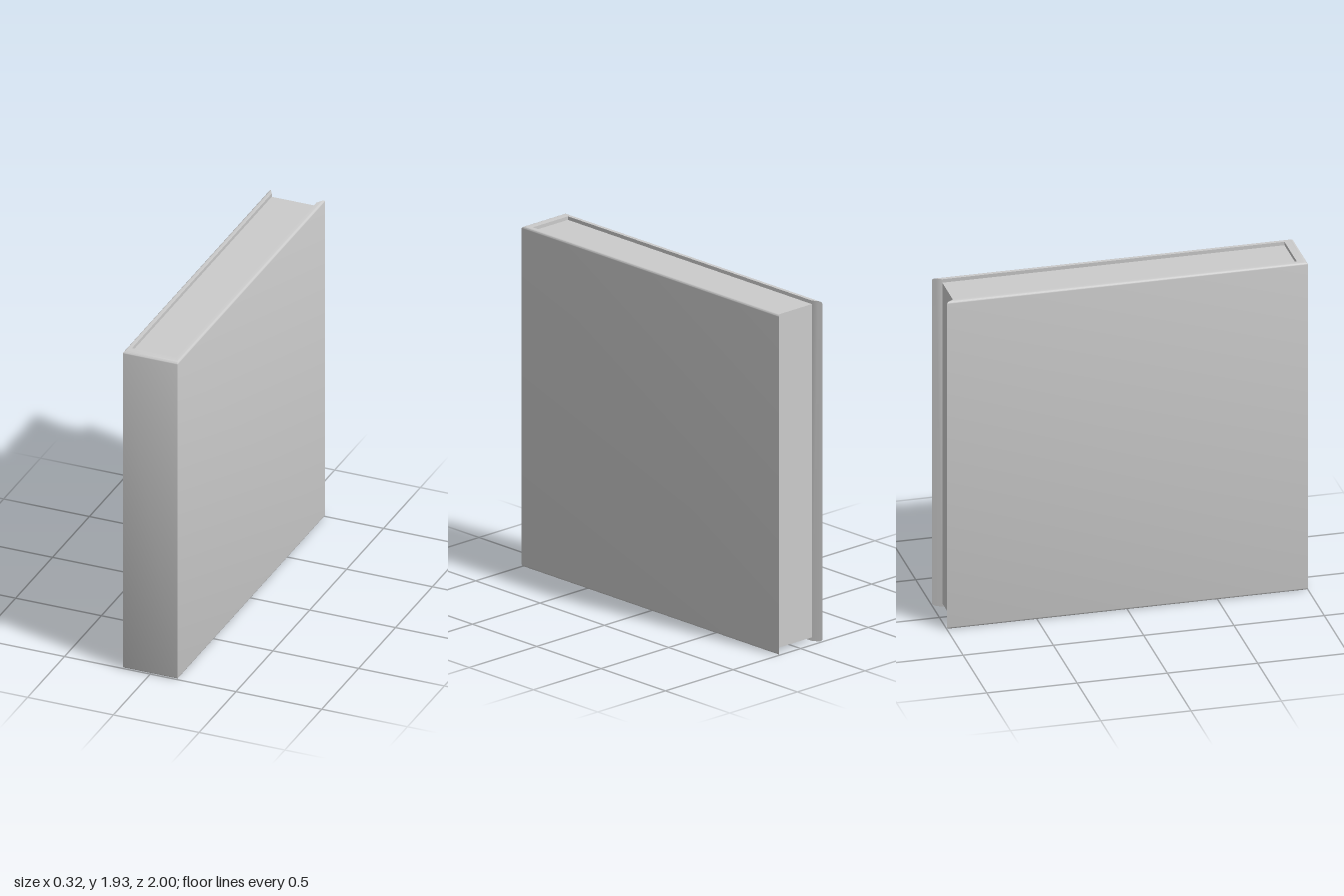
import * as THREE from 'three';
import { toCreasedNormals } from 'three/addons/utils/BufferGeometryUtils.js';

const W = 0.16, H = 1.93, D = 1;      // half width, height, half depth
const T = 0.03, R = 0.012;            // cover thickness, edge rounding
const BACK = -0.95, FRONT = 0.945;    // extent of the page block
const RECESS = 0.02;

// Cover cross-section as [distance inward from the outside, height]
function coverSection() {
  const pts = [[T, 0]];
  for (let i = 4; i >= 0; i--) {
    const a = (i / 4) * Math.PI / 2;
    pts.push([R - R * Math.cos(a), R - R * Math.sin(a)]);
  }
  for (let i = 0; i <= 4; i++) {
    const a = (i / 4) * Math.PI / 2;
    pts.push([R - R * Math.cos(a), H - R + R * Math.sin(a)]);
  }
  pts.push([T, H]);
  return pts;
}

// Section swept round a U: one side, the spine, the other side, with slanted free ends
function coverGeometry() {
  const section = coverSection();
  const n = section.length;
  const rings = [[1, -1], [1, 1], [-1, 1], [-1, -1]].map(([sx, sz]) =>
    section.map(([d, y]) => [
      sx * (W - d),
      y,
      sz > 0 ? D - d * (D - FRONT) / T : -D + d * (BACK + D) / T,
    ]));
  const pos = [];
  const tri = (...p) => p.forEach((v) => pos.push(...v));
  for (let k = 0; k < 3; k++) {
    for (let j = 0; j < n; j++) {
      const m = (j + 1) % n;
      const a = rings[k][j], b = rings[k + 1][j], c = rings[k + 1][m], d = rings[k][m];
      tri(a, d, c);
      tri(a, c, b);
    }
  }
  for (let j = 1; j < n - 1; j++) {
    tri(rings[0][0], rings[0][j + 1], rings[0][j]);
    tri(rings[3][0], rings[3][j], rings[3][j + 1]);
  }
  const geo = new THREE.BufferGeometry();
  geo.setAttribute('position', new THREE.Float32BufferAttribute(pos, 3));
  geo.computeVertexNormals();
  return toCreasedNormals(geo, 0.6);
}

export function createModel() {
  const group = new THREE.Group();
  group.name = 'book';
  const material = new THREE.MeshStandardMaterial({ color: 0xcccccc });

  const cover = new THREE.Mesh(coverGeometry(), material);
  cover.name = 'cover';

  // Page block, set slightly below the cover's top and bottom edges
  const pages = new THREE.Mesh(
    new THREE.BoxGeometry(2 * (W - T), H - 2 * RECESS, FRONT - BACK), material);
  pages.name = 'pages';
  pages.position.set(0, H / 2, (FRONT + BACK) / 2);

  group.add(cover, pages);
  return group;
}
